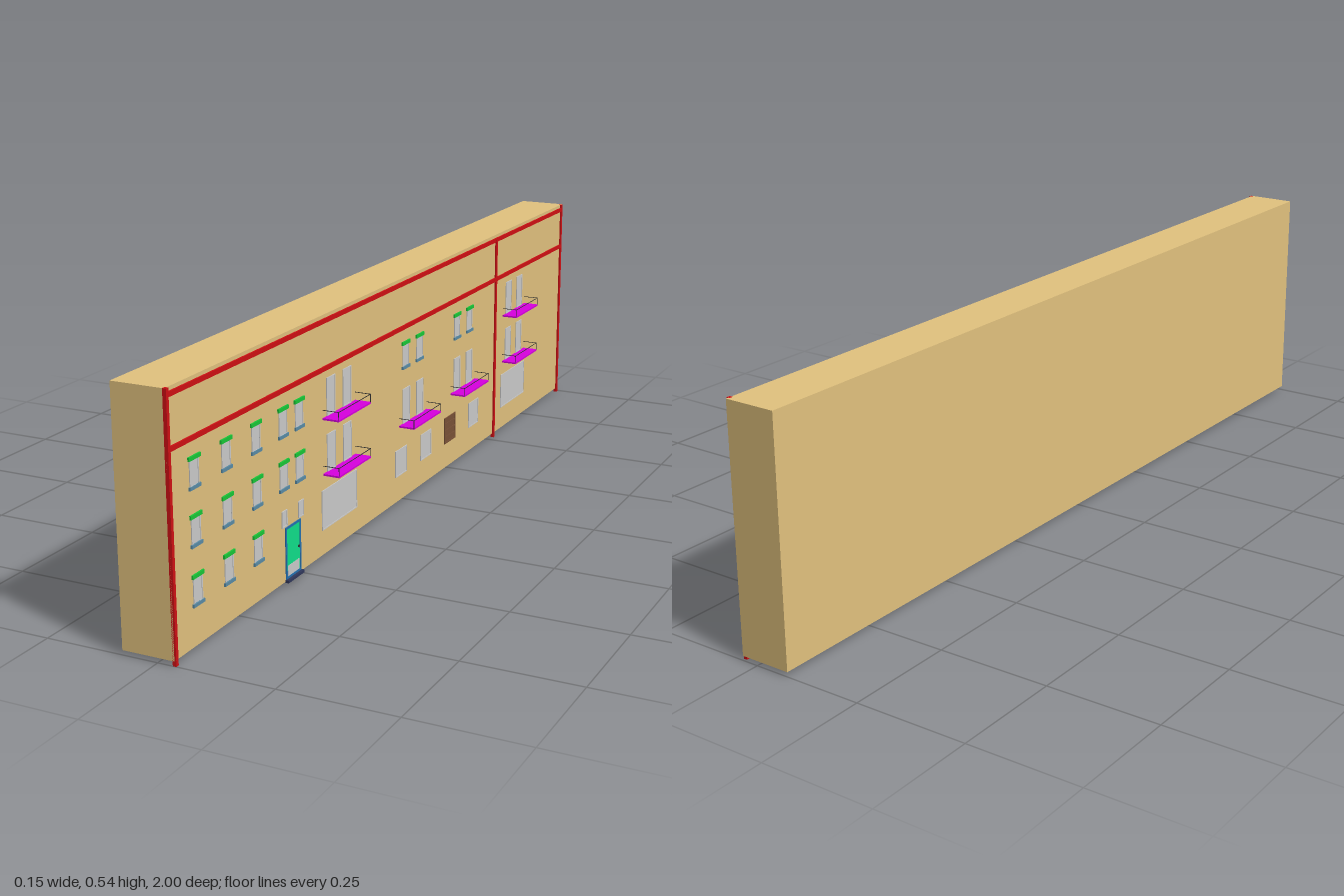
import * as THREE from 'three';

const mat = (color) => new THREE.MeshStandardMaterial({ color });
const MATS = {
  wall: mat(0xe2c27e), red: mat(0xd01014), grey: mat(0xcccccc), green: mat(0x18c838),
  blue: mat(0x5a8ca6), door: mat(0x10e08a), doorFrame: mat(0x2470b0), step: mat(0x30385c),
  purple: mat(0xd800e0), dark: mat(0x303030), brown: mat(0x7a5238),
};
const FACE = 0.037; // x of the street facade

export function createModel() {
  const model = new THREE.Group();

  // Box given by its limits on each axis
  function box(name, m, x0, x1, y0, y1, z0, z1, parent = model) {
    const mesh = new THREE.Mesh(new THREE.BoxGeometry(x1 - x0, y1 - y0, z1 - z0), MATS[m]);
    mesh.position.set((x0 + x1) / 2, (y0 + y1) / 2, (z0 + z1) / 2);
    mesh.name = name;
    parent.add(mesh);
    return mesh;
  }
  function group(name) {
    const g = new THREE.Group();
    g.name = name;
    model.add(g);
    return g;
  }
  // Four thin bars around an opening
  function frame(m, y0, y1, z0, z1, t, parent) {
    const x1 = FACE + 0.002;
    box('frameSide', m, FACE, x1, y0, y1, z0, z0 + t, parent);
    box('frameSide', m, FACE, x1, y0, y1, z1 - t, z1, parent);
    box('frameTop', m, FACE, x1, y1 - t, y1, z0 + t, z1 - t, parent);
    box('frameBottom', m, FACE, x1, y0, y0 + t, z0 + t, z1 - t, parent);
  }
  // Plain grey pane with a thin frame
  function pane(name, y0, y1, z0, z1) {
    const g = group(name);
    box('glass', 'grey', FACE - 0.002, FACE + 0.0008, y0, y1, z0, z1, g);
    frame('grey', y0, y1, z0, z1, 0.0025, g);
  }
  // Window with a green lintel and a blue sill
  function dressedWindow(z, y0) {
    const g = group('window');
    const y1 = y0 + 0.058;
    box('glass', 'grey', FACE - 0.002, FACE + 0.0008, y0, y1, z - 0.016, z + 0.016, g);
    frame('grey', y0, y1, z - 0.016, z + 0.016, 0.003, g);
    box('lintel', 'green', FACE, FACE + 0.004, y1 - 0.005, y1 + 0.003, z - 0.02, z + 0.02, g);
    box('sill', 'blue', FACE, FACE + 0.004, y0 - 0.004, y0 + 0.003, z - 0.019, z + 0.019, g);
  }
  // Slab with a thin wire railing
  function balcony(z, y) {
    const g = group('balcony');
    const w = 0.075, out = 0.075, t = 0.0012, top = y + 0.02;
    box('slab', 'purple', FACE, out, y - 0.002, y + 0.002, z - w, z + w, g);
    box('frontRail', 'dark', out - t, out, top - t, top, z - w, z + w, g);
    for (const s of [-1, 1]) {
      const c = z + s * (w - t / 2);
      box('sideRail', 'dark', FACE, out, top - t, top, c - t / 2, c + t / 2, g);
      box('post', 'dark', out - t, out, y, top, c - t / 2, c + t / 2, g);
    }
  }

  // Building block
  box('building', 'wall', -0.078, FACE, 0.01, 0.535, -1, 1);

  // Red downpipes and horizontal bands
  for (const [z, top] of [[0.996, 0.535], [-0.525, 0.525], [-0.99, 0.535]])
    box('downpipe', 'red', 0.033, 0.041, 0, top, z - 0.004, z + 0.004);
  for (const y of [0.522, 0.42])
    box('band', 'red', 0.033, 0.0408, y - 0.005, y + 0.005, -0.99, 0.996);

  // Dressed windows of the stair wing and the upper floor
  const wing = [0.913, 0.8, 0.688, 0.581, 0.514];
  for (const z of wing) {
    dressedWindow(z, 0.325);
    dressedWindow(z, 0.212);
  }
  for (const z of wing.slice(0, 3)) dressedWindow(z, 0.094);
  for (const z of [0.008, -0.067, -0.284, -0.359]) dressedWindow(z, 0.325);

  // Balconies, each with a pair of glazed doors
  for (const [z, y] of [[0.336, 0.312], [-0.655, 0.312], [0.336, 0.189],
    [-0.035, 0.189], [-0.325, 0.189], [-0.655, 0.189]]) {
    balcony(z, y);
    for (const s of [-1, 1]) {
      const c = z + 0.002 + s * 0.037;
      pane('balconyDoor', y + 0.002, y + 0.085, c - 0.019, c + 0.019);
    }
  }

  // Ground floor panes
  pane('shopWindow', 0.066, 0.155, 0.258, 0.42);
  pane('shopWindow', 0.066, 0.155, -0.735, -0.572);
  for (const z of [0.031, -0.106, -0.391])
    pane('groundWindow', 0.071, 0.135, z - 0.03, z + 0.03);
  for (const z of [0.581, 0.512])
    pane('transom', 0.13, 0.166, z - 0.011, z + 0.011);

  // Brown slatted shutter
  const shutter = group('shutter');
  box('panel', 'brown', FACE - 0.002, FACE + 0.0008, 0.071, 0.137, -0.278, -0.214, shutter);
  frame('brown', 0.071, 0.137, -0.278, -0.214, 0.004, shutter);
  for (let i = 1; i < 4; i++) {
    const y = 0.071 + i * 0.0165;
    box('slat', 'brown', FACE, FACE + 0.002, y - 0.002, y + 0.002, -0.274, -0.218, shutter);
  }

  // Entrance door with frame, kick plate, handle and step
  const door = group('entranceDoor');
  box('leaf', 'door', FACE - 0.002, FACE + 0.001, 0.016, 0.125, 0.517, 0.577, door);
  frame('doorFrame', 0.014, 0.127, 0.515, 0.579, 0.005, door);
  box('kickPlate', 'grey', FACE, FACE + 0.0015, 0.019, 0.042, 0.523, 0.571, door);
  box('handle', 'dark', FACE, FACE + 0.003, 0.068, 0.072, 0.523, 0.528, door);
  box('step', 'step', FACE, 0.045, 0.008, 0.014, 0.513, 0.581, door);

  return model;
}
